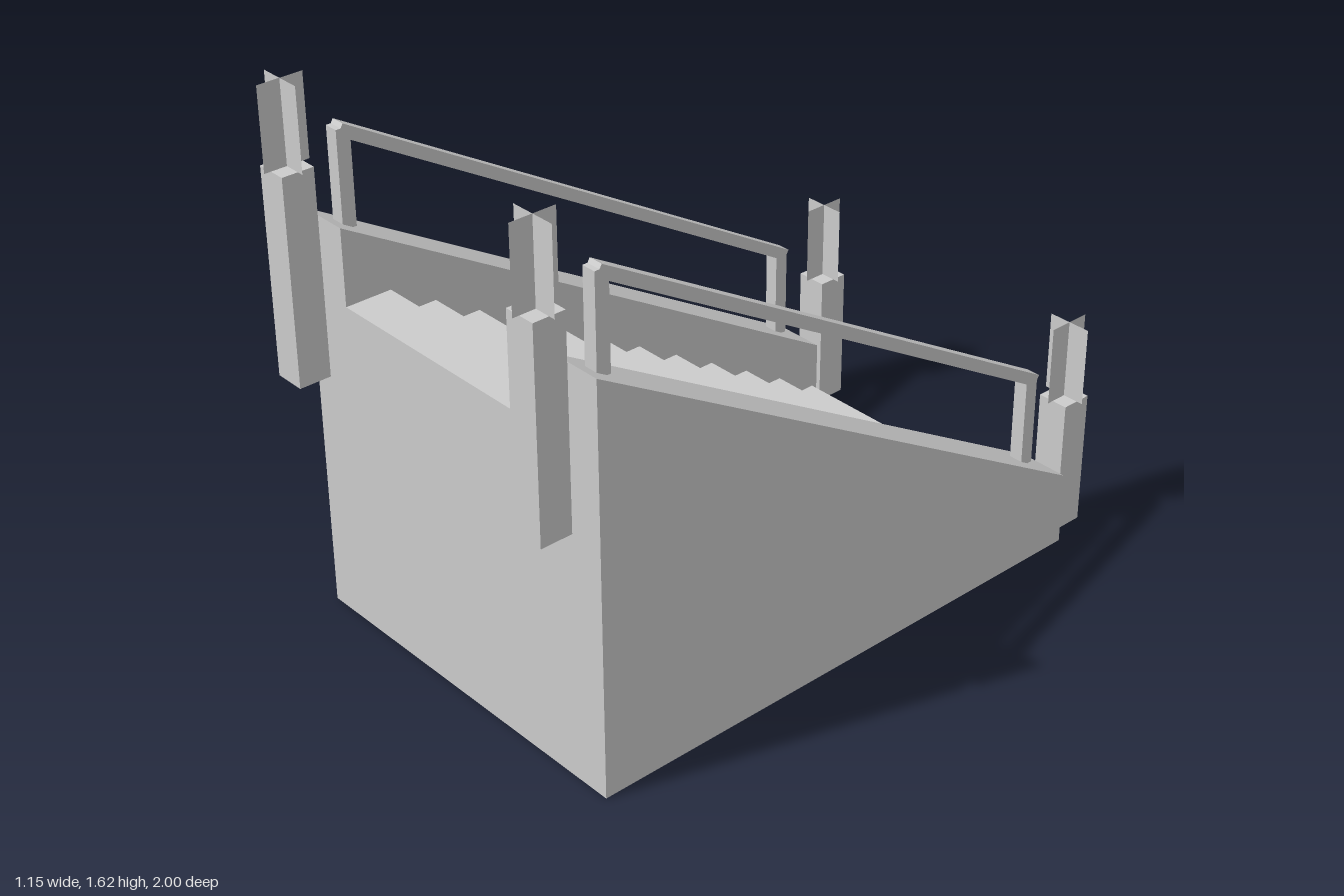
import * as THREE from 'three';

const grey = new THREE.MeshStandardMaterial({ color: 0xcccccc, flatShading: true });
const thin = new THREE.MeshStandardMaterial({ color: 0xcccccc, flatShading: true, side: THREE.DoubleSide });

function add(parent, name, geometry, x, y, z, material = grey) {
  const mesh = new THREE.Mesh(geometry, material);
  mesh.name = name;
  mesh.position.set(x, y, z);
  parent.add(mesh);
  return mesh;
}

// Extrudes a [z, y] side profile along x, centred on x = 0
function sideProfile(points, width) {
  const shape = new THREE.Shape(points.map(([z, y]) => new THREE.Vector2(-z, y)));
  const g = new THREE.ExtrudeGeometry(shape, { depth: width, bevelEnabled: false });
  return g.translate(0, 0, -width / 2).rotateY(Math.PI / 2);
}

// Newel post, open underneath, topped by two crossed upright panels
function newelPost(height) {
  const group = new THREE.Group();
  group.name = 'newelPost';
  const box = new THREE.BoxGeometry(0.094, height, 0.094);
  const index = Array.from(box.index.array);
  index.splice(18, 6); // bottom face
  box.setIndex(index);
  add(group, 'postShaft', box, 0, height / 2, 0);
  for (const turn of [0, Math.PI / 2]) {
    const panel = new THREE.PlaneGeometry(0.133, 0.236);
    add(group, 'crossedPanel', panel, 0, height + 0.118, 0, thin).rotation.y = turn;
  }
  return group;
}

export function createModel() {
  const model = new THREE.Group();
  model.name = 'staircase';

  // Solid flight of steps, rising towards +z
  const steps = 12, top = 0.98, back = 0.837, front = -0.835;
  const run = (back - front) / steps, rise = top / steps;
  const profile = [[front, 0]];
  for (let i = 0; i < steps; i++) {
    profile.push([front + i * run, (i + 1) * rise], [front + (i + 1) * run, (i + 1) * rise]);
  }
  profile.push([back, 0]);
  add(model, 'steps', sideProfile(profile, 0.84), 0, 0, 0);

  for (const side of [-1, 1]) {
    // Sloping side wall
    const wall = sideProfile([[-0.853, 0], [-0.853, 0.218], [back, 1.205], [back, 0]], 0.154);
    add(model, 'sideWall', wall, side * 0.496, 0, 0);

    // Handrail on two short posts
    const x = side * 0.497;
    add(model, 'railPost', new THREE.BoxGeometry(0.042, 0.28, 0.042), x, 1.3, 0.77);
    add(model, 'railPost', new THREE.BoxGeometry(0.042, 0.27, 0.042), x, 0.41, -0.75);
    const low = new THREE.Vector3(x, 0.537, -0.77), high = new THREE.Vector3(x, 1.437, 0.778);
    const mid = low.clone().lerp(high, 0.5);
    const rail = add(model, 'handrail', new THREE.BoxGeometry(0.042, 0.034, low.distanceTo(high)), mid.x, mid.y, mid.z);
    rail.lookAt(high);

    // Newel posts at the head and foot
    const upper = newelPost(0.597);
    upper.position.set(side * 0.485, 0.788, 0.934);
    const lower = newelPost(0.41);
    lower.position.set(side * 0.485, 0, -0.934);
    model.add(upper, lower);
  }
  return model;
}
